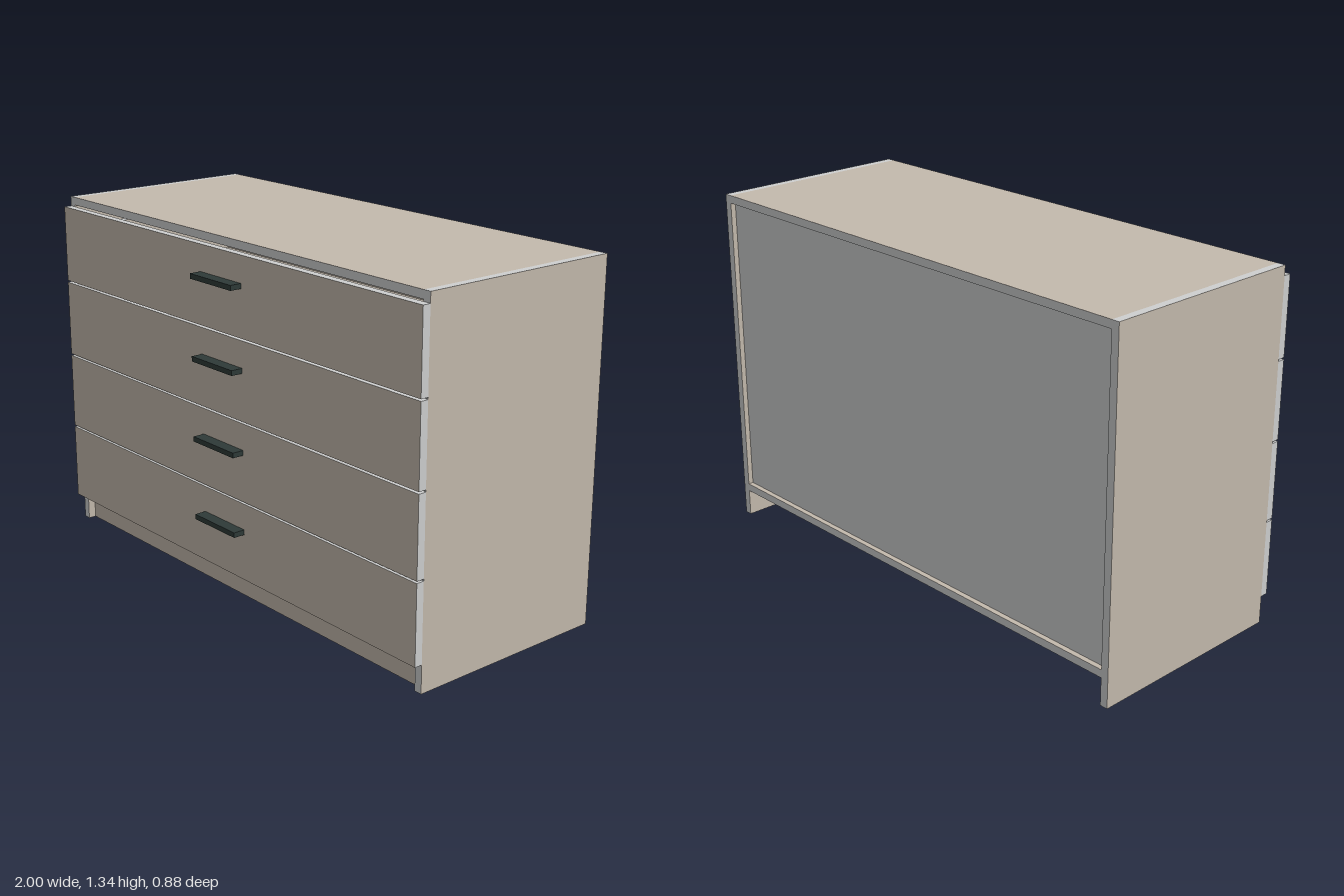
import * as THREE from 'three';

export function createModel() {
  const group = new THREE.Group();
  group.name = 'chestOfDrawers';

  const wood = new THREE.MeshStandardMaterial({ color: 0xc4baad });
  wood.name = 'beige wood';
  const edge = new THREE.MeshStandardMaterial({ color: 0xcfd0d0 });
  edge.name = 'pale grey edge';
  const metal = new THREE.MeshStandardMaterial({ color: 0x2e3a38 });
  metal.name = 'dark metal';

  // A board with wood on the two faces along one axis and edging on the rest
  function board(name, axis, [x0, x1], [y0, y1], [z0, z1], parent = group) {
    const materials = ['x', 'x', 'y', 'y', 'z', 'z'].map(a => (a === axis ? wood : edge));
    const mesh = new THREE.Mesh(new THREE.BoxGeometry(x1 - x0, y1 - y0, z1 - z0), materials);
    mesh.position.set((x0 + x1) / 2, (y0 + y1) / 2, (z0 + z1) / 2);
    mesh.name = name;
    parent.add(mesh);
    return mesh;
  }

  const t = 0.03, inner = 1 - t;
  const back = -0.44, front = 0.365, height = 1.335, floor = 0.105;

  // Carcass
  board('leftSide', 'x', [inner, 1], [0, height], [back, front]);
  board('rightSide', 'x', [-1, -inner], [0, height], [back, front]);
  board('topPanel', 'y', [-inner, inner], [height - t, height], [back, front]);
  board('bottomPanel', 'y', [-inner, inner], [floor, floor + t], [back, front]);
  board('plinth', 'z', [-inner, inner], [0, floor], [front - 0.06, front - 0.03]);
  board('backPanel', 'none', [-inner, inner], [floor + t, height - t], [back + 0.02, back + 0.03]);

  // Four drawers, each with a front, a handle and an open box behind
  for (let i = 0; i < 4; i++) {
    const drawer = new THREE.Group();
    drawer.name = `drawer${i + 1}`;
    const y = floor + i * 0.3;
    board('drawerFront', 'z', [-1, 1], [y, y + 0.293], [front, front + t], drawer);

    const handle = new THREE.Mesh(new THREE.BoxGeometry(0.232, 0.019, 0.045), metal);
    handle.position.set(0, y + 0.085, front + t + 0.0225);
    handle.name = 'handle';
    drawer.add(handle);

    const by = y + 0.035, top = y + 0.225, w = 0.945, rear = -0.36;
    for (const s of [-1, 1]) {
      const xs = s > 0 ? [w - t, w] : [-w, t - w];
      board('drawerSide', 'x', xs, [by, top], [rear, front], drawer);
    }
    board('drawerBack', 'z', [t - w, w - t], [by, top], [rear, rear + t], drawer);
    board('drawerBase', 'y', [t - w, w - t], [by, by + 0.01], [rear + t, front], drawer);
    group.add(drawer);
  }

  // Upper handles sit higher than mid-board on every front
  group.traverse(o => { if (o.name === 'handle') o.position.y += 0.1; });

  return group;
}
